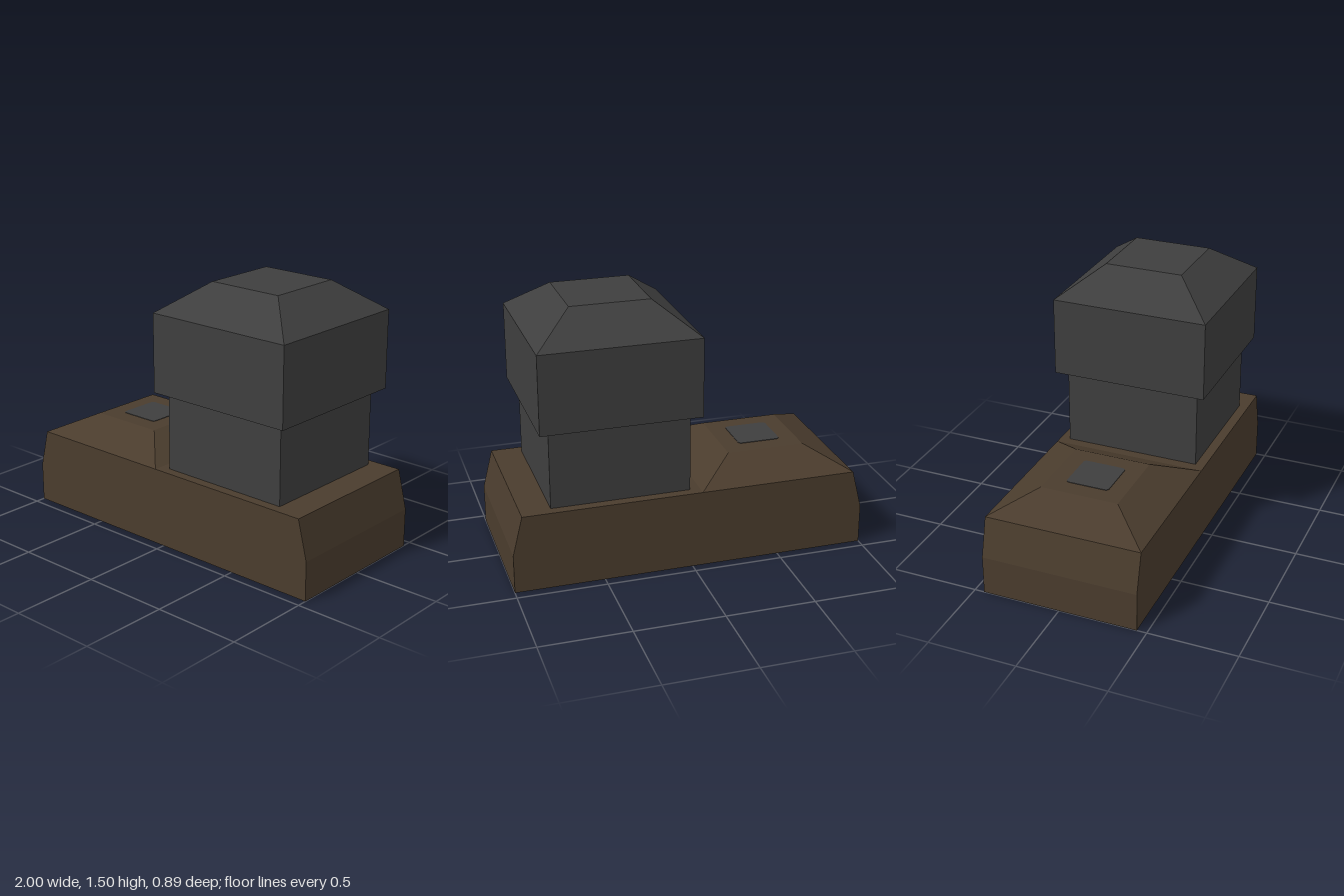
import * as THREE from 'three';

const U = 1 / 18; // modelling unit

export function createModel() {
  const model = new THREE.Group();
  model.name = 'model';

  const brown = new THREE.MeshStandardMaterial({ color: 0x4a3c2d });
  brown.name = 'brown';
  const grey = new THREE.MeshStandardMaterial({ color: 0x3e3e3e });
  grey.name = 'dark grey';

  const add = (name, geometry, material, x = 0, y = 0, z = 0) => {
    const mesh = new THREE.Mesh(geometry, material);
    mesh.name = name;
    mesh.position.set(x * U, y * U, z * U);
    model.add(mesh);
    return mesh;
  };

  // Square block standing on y = 0, its top scaled by the taper
  const block = (width, height, taper = 1) => {
    const g = new THREE.BoxGeometry(width * U, height * U, width * U);
    g.translate(0, (height * U) / 2, 0);
    const p = g.attributes.position;
    for (let i = 0; i < p.count; i++) {
      if (p.getY(i) > 0) p.setXYZ(i, p.getX(i) * taper, p.getY(i), p.getZ(i) * taper);
    }
    g.computeVertexNormals();
    return g;
  };

  // Long base with sloping ends
  const profile = new THREE.Shape(
    [[-18, 0], [18, 0], [18, 4], [17, 8], [-17, 8], [-18, 4]].map(
      ([x, y]) => new THREE.Vector2(x * U, y * U)
    )
  );
  add('base', new THREE.ExtrudeGeometry(profile, { depth: 16 * U, bevelEnabled: false }), brown, 0, 0, -8);

  // Low tapered mound with a thin rounded plate on top
  add('mound', block(16, 2, 0.5), brown, -9, 8);
  const h = 0.123, r = 0.02;
  const plate = new THREE.Shape();
  plate.absarc(h - r, h - r, r, 0, Math.PI / 2);
  plate.absarc(r - h, h - r, r, Math.PI / 2, Math.PI);
  plate.absarc(r - h, r - h, r, Math.PI, Math.PI * 1.5);
  plate.absarc(h - r, r - h, r, Math.PI * 1.5, Math.PI * 2);
  const plateGeometry = new THREE.ExtrudeGeometry(plate, { depth: 0.003, bevelEnabled: false, curveSegments: 4 });
  plateGeometry.rotateX(-Math.PI / 2);
  add('moundPlate', plateGeometry, grey, -9, 10);

  // Column, wider head and hipped cap
  add('column', block(14, 8), grey, 7, 8);
  add('head', block(16, 8), grey, 7, 16);
  add('headCap', block(16, 3, 0.5), grey, 7, 24);

  return model;
}
